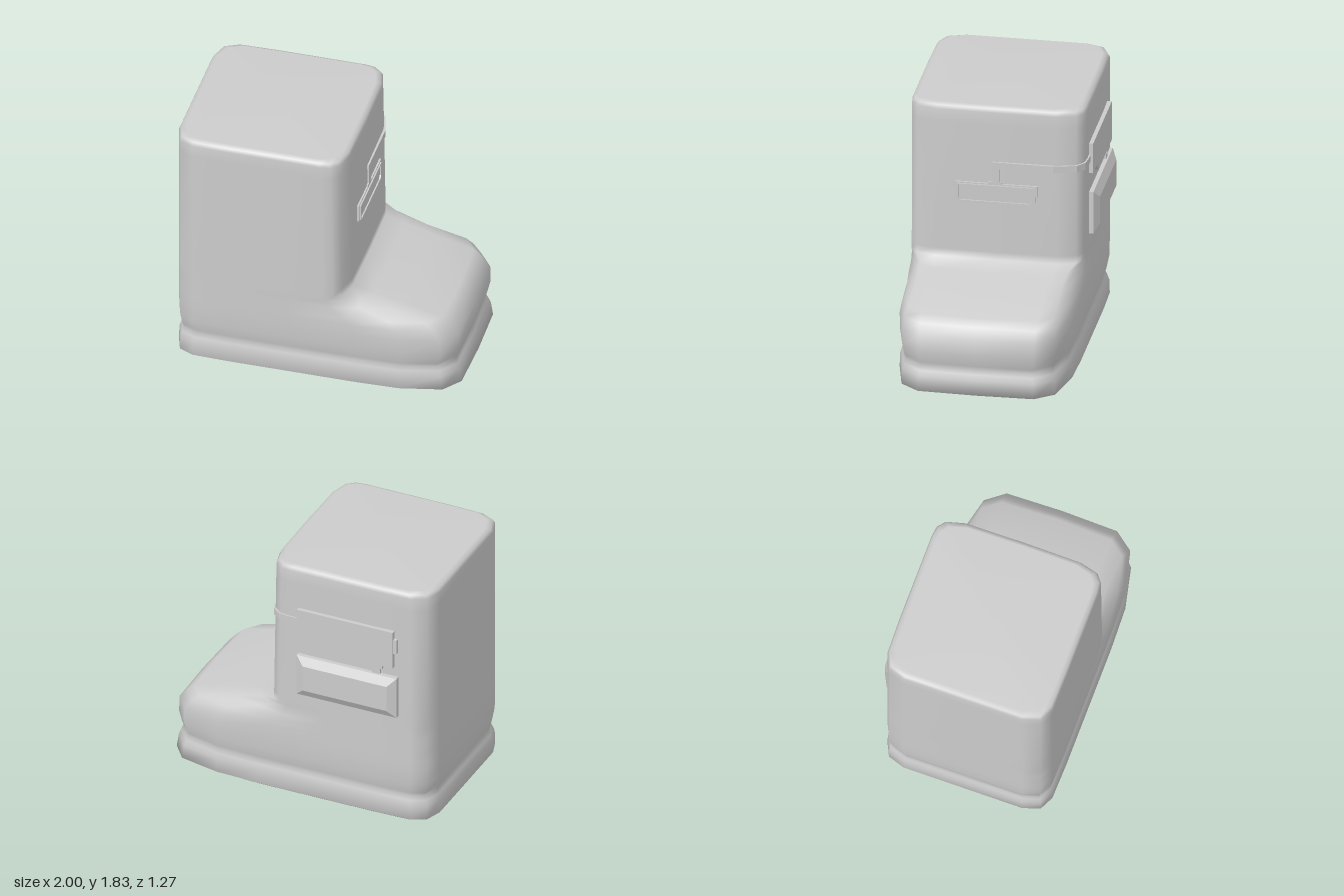
import * as THREE from 'three';

const grey = new THREE.MeshStandardMaterial({ color: 0xcccccc, side: THREE.DoubleSide });
const ZC = 0.03; // centre line of the boot

function mesh(name, geo) {
  const m = new THREE.Mesh(geo, grey);
  m.name = name;
  return m;
}

const poly = (pts) => new THREE.Shape(pts.map(([a, b]) => new THREE.Vector2(a, b)));
const slab = (shape, depth) => new THREE.ExtrudeGeometry(shape, { depth, bevelEnabled: false });

// Half outlines [x, half width]: shared heel half, then front half per level
const heel = [[-1, 0], [-1, 0.43], [-0.96, 0.55], [-0.86, 0.598], [-0.6, 0.605], [-0.2, 0.605]];
const shaftFront = (x) => [[x - 0.165, 0.605], [x - 0.095, 0.595], [x - 0.04, 0.55], [x - 0.005, 0.42], [x, 0]];
const toe = (x) => [[0.3, 0.605], [0.6, 0.595], [x - 0.11, 0.53], [x - 0.01, 0.4], [x, 0]];

// Levels: height, inset, front half
const levels = [
  [0, 0.04, [[0.3, 0.605], [0.55, 0.59], [0.75, 0.52], [0.86, 0.38], [0.87, 0]]],
  [0.03, 0, toe(1)],
  [0.13, 0.003, toe(0.985)],
  [0.17, 0.015, toe(0.97)],
  [0.2, 0.025, toe(0.957)],
  [0.23, 0.018, toe(0.965)],
  [0.31, 0.003, toe(0.983)],
  [0.43, 0, toe(0.98)],
  [0.5, 0, [[0.25, 0.605], [0.57, 0.585], [0.82, 0.525], [0.91, 0.4], [0.92, 0]]],
  [0.55, 0, [[0.2, 0.605], [0.53, 0.565], [0.77, 0.51], [0.855, 0.4], [0.87, 0]]],
  [0.62, 0, [[0.1, 0.602], [0.3, 0.55], [0.5, 0.5], [0.57, 0.4], [0.58, 0]]],
  [0.67, 0, [[0.08, 0.603], [0.19, 0.565], [0.3, 0.51], [0.365, 0.41], [0.375, 0]]],
  [0.705, 0, shaftFront(0.23)],
  [0.76, 0, shaftFront(0.228)],
  [1.2, 0, shaftFront(0.221)],
  [1.7, 0, shaftFront(0.212)],
  [1.79, 0, shaftFront(0.21)],
  [1.815, 0.012, shaftFront(0.198)],
  [1.83, 0.042, shaftFront(0.17)],
];

// Boot: horizontal outlines joined from the sole up to the closed top
function bootGeometry() {
  const pos = [], index = [];
  let n = 0;
  for (const [y, d, front] of levels) {
    const half = [...heel.map(([x, z]) => [x < -0.5 ? x + d : x, z]), ...front]
      .map(([x, z]) => [x, z * (1 - d / 0.605)]);
    const ring = [...half, ...half.slice(1, -1).reverse().map(([x, z]) => [x, -z])];
    n = ring.length;
    for (const [x, z] of ring) pos.push(x, y, z + ZC);
  }
  const last = (levels.length - 1) * n, bottom = last + n, top = bottom + 1;
  pos.push(0, 0, ZC, -0.4, 1.83, ZC);
  for (let i = 0; i < n; i++) {
    const j = (i + 1) % n;
    for (let r = 0; r < last; r += n) index.push(r + i, r + j, r + n + j, r + i, r + n + j, r + n + i);
    index.push(j, i, bottom, last + i, last + j, top);
  }
  const g = new THREE.BufferGeometry();
  g.setAttribute('position', new THREE.Float32BufferAttribute(pos, 3));
  g.setIndex(index);
  g.computeVertexNormals();
  return g;
}

// Outline [x, y] pushed out of the side wall that faces -z
const onSide = (pts, depth) =>
  slab(poly(pts.map(([x, y]) => [-x, y])), depth + 0.01).rotateY(Math.PI).translate(0, 0, -0.565);

// Outline [z, y] pushed out of the shin, up to the given x
const flip = (pts) => pts.map(([z, y]) => [-z, y]);
const onShin = (pts, x, hole) => {
  const s = poly(flip(pts));
  if (hole) s.holes.push(poly(flip(hole)));
  return slab(s, x - 0.21).rotateY(Math.PI / 2).translate(0.21, 0, 0);
};

// Box with a smaller outer face
function bevelledBox() {
  const g = new THREE.BoxGeometry(0.75, 0.31, 0.035).toNonIndexed();
  const p = g.attributes.position;
  for (let i = 0; i < p.count; i++) {
    if (p.getZ(i) < 0) p.setXY(i, p.getX(i) * 0.84, p.getY(i) * 0.62);
  }
  g.computeVertexNormals();
  return g.translate(-0.395, 0.995, -0.6225);
}

// Band running from the shin round the corner to the side plate
function strapGeometry() {
  const outer = [[0.229, 0.05], [0.229, -0.37], [0.222, -0.4], [0.187, -0.528], [0.128, -0.576], [0.05, -0.586], [-0.04, -0.586]];
  const inner = [[-0.04, -0.56], [0.04, -0.56], [0.11, -0.55], [0.165, -0.51], [0.2, -0.39], [0.2, 0.05]];
  const s = poly([...outer, ...inner].map(([x, z]) => [x, -z]));
  return slab(s, 0.05).rotateX(-Math.PI / 2).translate(0, 1.38, 0);
}

export function createModel() {
  const root = new THREE.Group();
  root.name = 'boot';
  root.add(mesh('bootBody', bootGeometry()));

  // Side unit: stepped plate, tab, connector and bevelled box
  const side = new THREE.Group();
  side.name = 'sideUnit';
  side.add(mesh('sidePlate', onSide([[-0.02, 1.51], [-0.02, 1.29], [-0.16, 1.29], [-0.18, 1.275], [-0.23, 1.225],
    [-0.56, 1.225], [-0.56, 1.2], [-0.66, 1.2], [-0.66, 1.225], [-0.74, 1.225], [-0.74, 1.51]], 0.028)));
  side.add(mesh('sideTab', onSide([[-0.73, 1.45], [-0.73, 1.34], [-0.765, 1.34], [-0.765, 1.45]], 0.02)));
  side.add(mesh('connector', onSide([[-0.58, 1.23], [-0.58, 1.14], [-0.64, 1.14], [-0.64, 1.23]], 0.018)));
  side.add(mesh('boxBase', onSide([[-0.02, 1.15], [-0.02, 0.84], [-0.77, 0.84], [-0.77, 1.15]], 0.03)));
  side.add(mesh('bevelledBox', bevelledBox()));
  root.add(side);

  // Shin unit: band, drop link, back plate and raised rim
  const shin = new THREE.Group();
  shin.name = 'shinUnit';
  const rim = [[0.295, 1.26], [0.295, 1.145], [0.275, 1.13], [-0.21, 1.13], [-0.235, 1.155], [-0.235, 1.26]];
  const recess = [[0.285, 1.25], [0.285, 1.15], [0.271, 1.14], [-0.205, 1.14], [-0.225, 1.16], [-0.225, 1.25]];
  shin.add(mesh('strap', strapGeometry()));
  shin.add(mesh('strapDrop', onShin([[0.05, 1.39], [0.05, 1.26], [0, 1.26], [0, 1.39]], 0.229)));
  shin.add(mesh('shinPlate', onShin([[0.31, 1.27], [0.31, 1.14], [0.285, 1.12], [-0.215, 1.12], [-0.245, 1.15], [-0.245, 1.19],
    [-0.26, 1.19], [-0.26, 1.27], [-0.015, 1.27], [-0.015, 1.283], [0.075, 1.283], [0.075, 1.27]], 0.23)));
  shin.add(mesh('shinRim', onShin(rim, 0.24, recess)));
  root.add(shin);
  return root;
}
